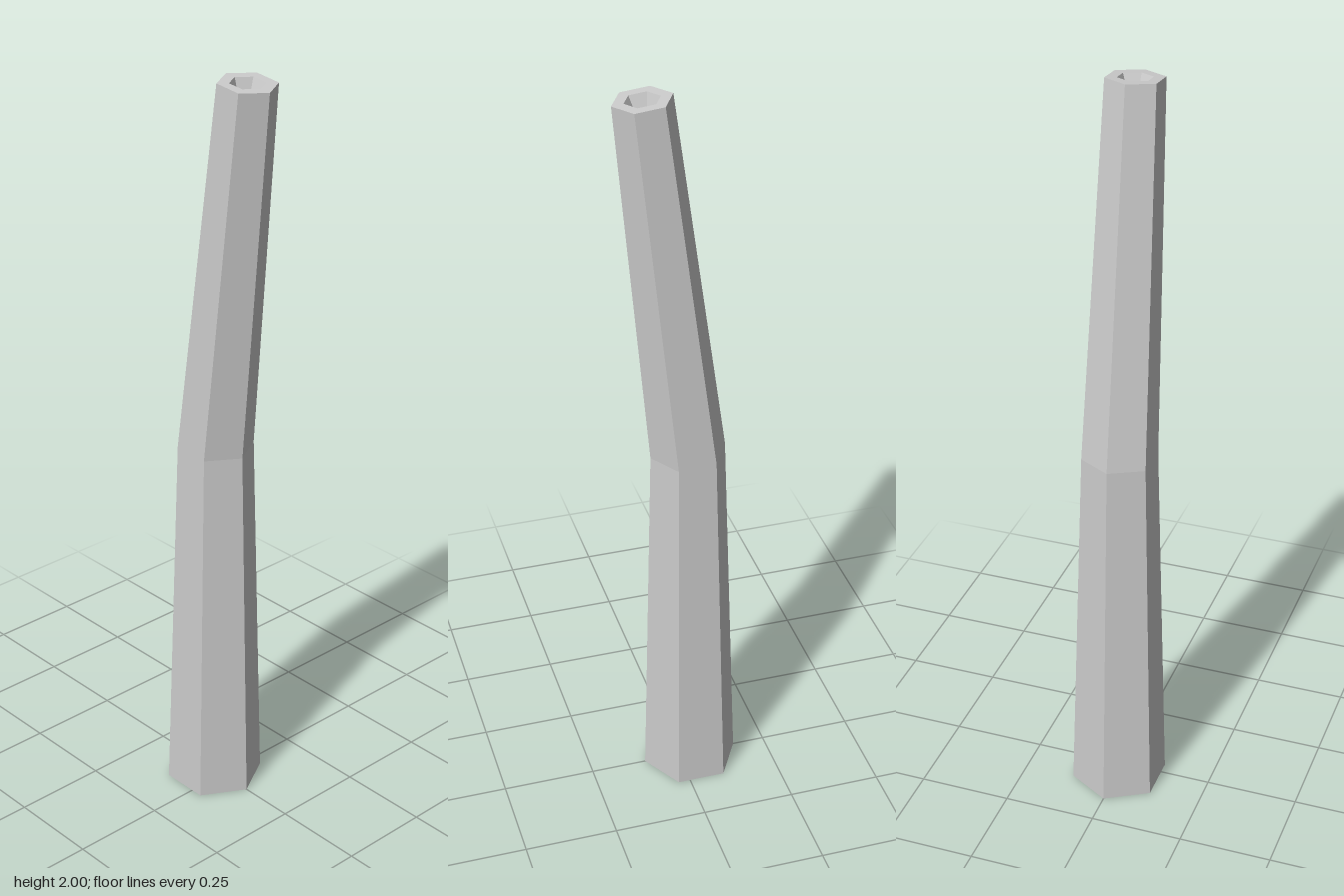
import * as THREE from 'three';

const SIDES = 6;
const TILT = 0.1; // lean of the upper end

// Hexagonal cross-section centred at (cx, cy), tipped towards +x
function ring(cx, cy, radius, tilt = 0) {
  return Array.from({ length: SIDES }, (_, i) => {
    const a = (i / SIDES) * Math.PI * 2;
    const u = radius * Math.cos(a);
    return [cx + u * Math.cos(tilt), cy - u * Math.sin(tilt), radius * Math.sin(a)];
  });
}

// Joins successive rings into a flat-sided skin; optional cap on the last ring
function skin(name, rings, cap, material) {
  const pos = [];
  for (let k = 0; k < rings.length - 1; k++) {
    const lo = rings[k], hi = rings[k + 1];
    for (let i = 0; i < SIDES; i++) {
      const j = (i + 1) % SIDES;
      pos.push(...lo[i], ...hi[i], ...hi[j], ...lo[i], ...hi[j], ...lo[j]);
    }
  }
  if (cap) {
    const end = rings[rings.length - 1];
    for (let i = 1; i < SIDES - 1; i++) pos.push(...end[0], ...end[i + 1], ...end[i]);
  }
  const geometry = new THREE.BufferGeometry();
  geometry.setAttribute('position', new THREE.Float32BufferAttribute(pos, 3));
  geometry.computeVertexNormals();
  const mesh = new THREE.Mesh(geometry, material);
  mesh.name = name;
  return mesh;
}

export function createModel() {
  const group = new THREE.Group();
  group.name = 'bentPost';
  const material = new THREE.MeshStandardMaterial({ color: 0xcccccc, flatShading: true });

  const base = ring(-0.032, 0, 0.13);
  const bend = ring(-0.025, 1.015, 0.1, TILT / 2);
  const top = ring(0.087, 1.9925, 0.075, TILT);

  // Tapered shaft with one bend
  group.add(skin('shaft', [base, bend, top], false, material));

  // Rim and shallow socket in the upper end
  const depth = 0.04;
  const lip = ring(0.087, 1.9925, 0.045, TILT);
  const socketFloor = ring(0.087 - depth * Math.sin(TILT), 1.9925 - depth * Math.cos(TILT), 0.029, TILT);
  group.add(skin('topSocket', [top, lip, socketFloor], true, material));

  // Hollow in the foot, wound from the inside out so it faces down
  const footLip = ring(-0.032, 0, 0.118).reverse();
  const footFloor = ring(-0.032, 0.07, 0.085).reverse();
  group.add(skin('footHollow', [[...base].reverse(), footLip, footFloor], true, material));

  return group;
}
